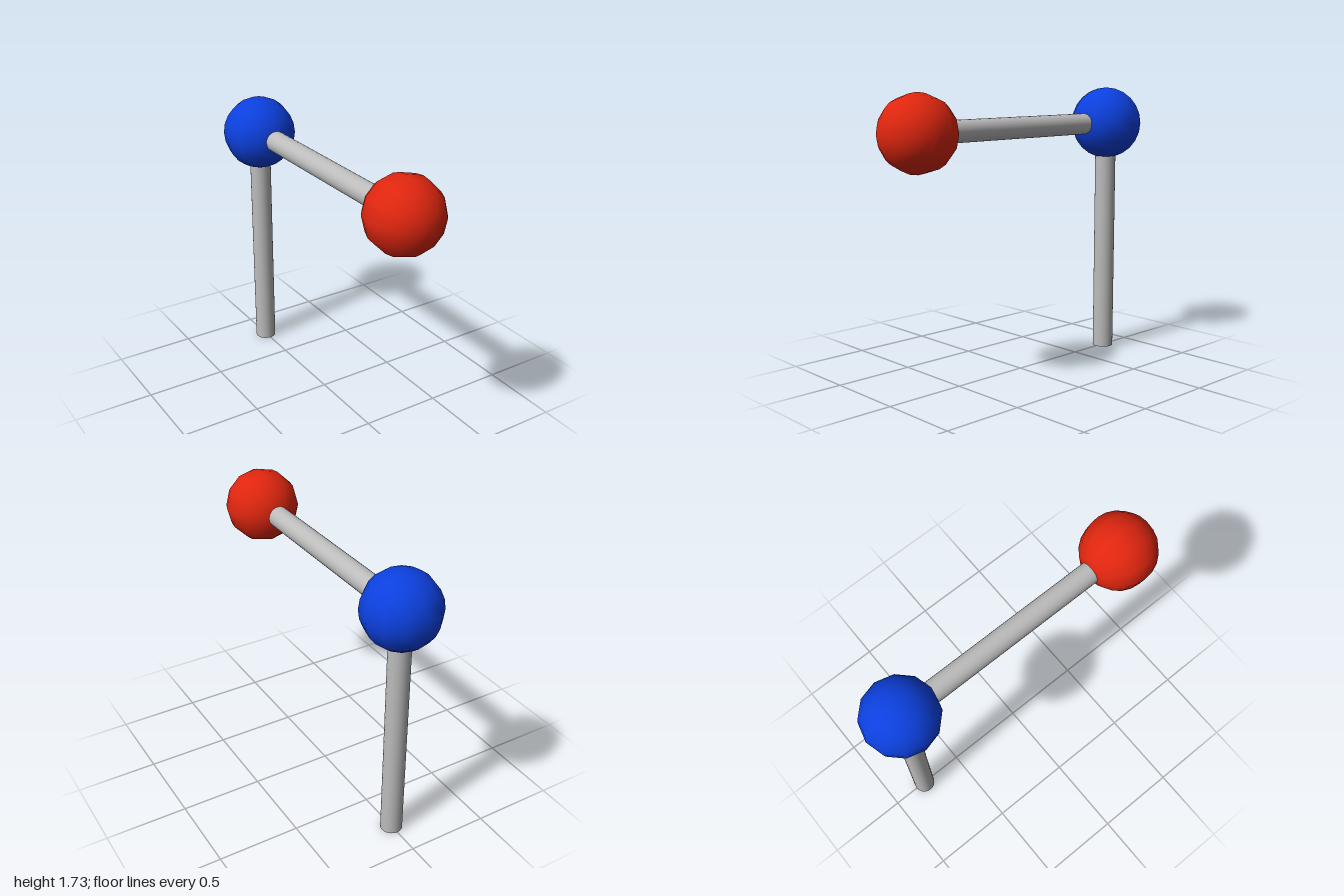
import * as THREE from 'three';

export function createModel() {
  const model = new THREE.Group();
  const paint = (name, color) => {
    const m = new THREE.MeshStandardMaterial({ color });
    m.name = name;
    return m;
  };
  const red = paint('red', 0xe0260f);
  const blue = paint('blue', 0x0c40de);
  const grey = paint('grey', 0xbcbcbc);

  const R = 0.227, ROD = 0.066, Y = 1.5, Z = 0.773;
  const add = (name, geometry, material, y, z) => {
    const mesh = new THREE.Mesh(geometry, material);
    mesh.name = name;
    mesh.position.set(0, y, z);
    model.add(mesh);
  };

  // Balls: the poles follow each ball's own rod
  const ball = () => new THREE.SphereGeometry(R, 12, 12);
  add('frontBall', ball().rotateX(Math.PI / 2), red, Y, Z);
  add('cornerBall', ball(), blue, Y, -Z);

  // Rods reach the ball centres
  const rod = (length) => new THREE.CylinderGeometry(ROD, ROD, length, 24);
  add('uprightRod', rod(Y), grey, Y / 2, -Z);
  add('crossRod', rod(2 * Z).rotateX(Math.PI / 2), grey, Y, 0);

  return model;
}
